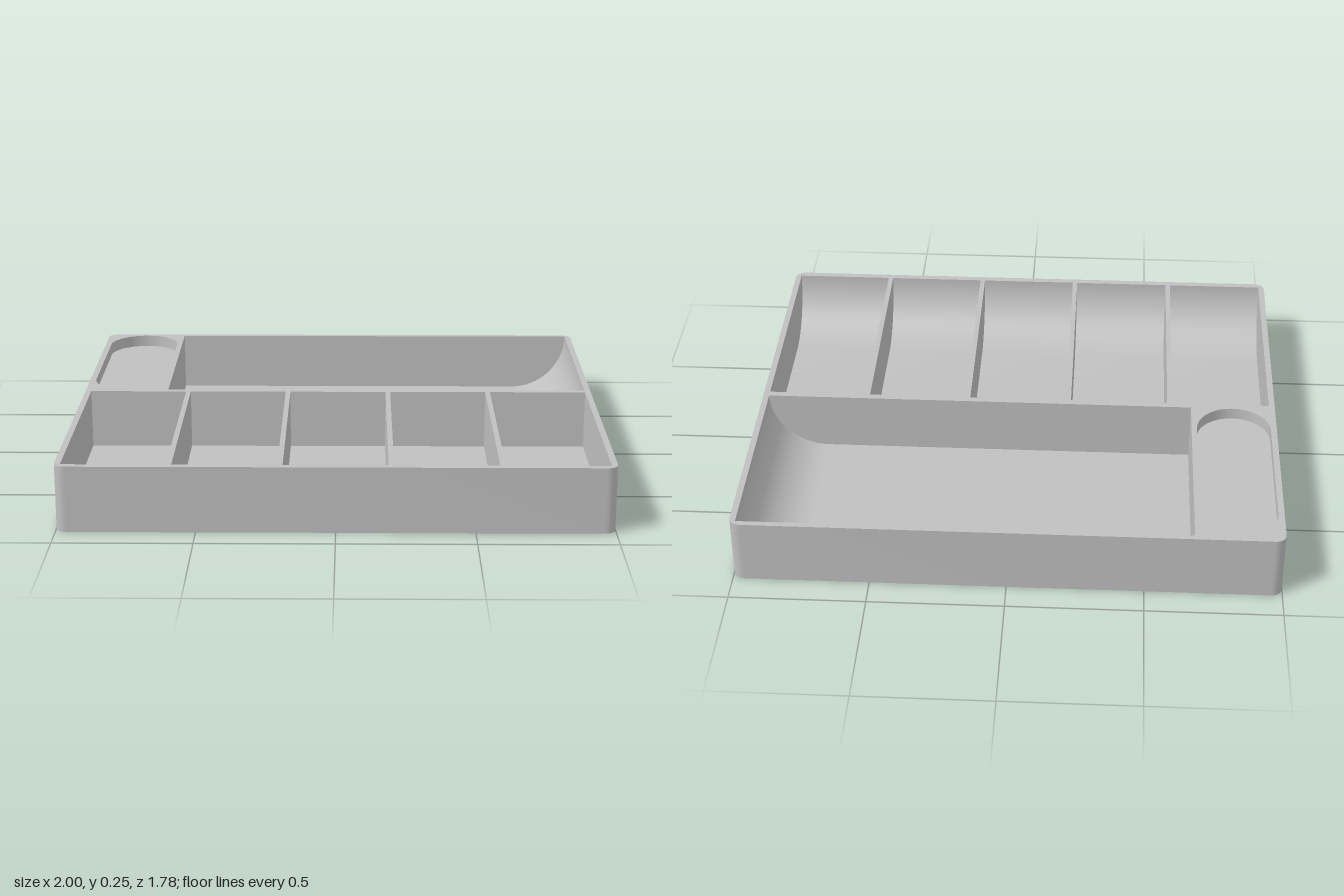
import * as THREE from 'three';
import { toCreasedNormals } from 'three/addons/utils/BufferGeometryUtils.js';

const HEIGHT = 0.246, FLOOR = 0.02, OVAL_FLOOR = 0.2;
const HALF_X = 1, HALF_Z = 0.89;
const INNER_X = 0.977;                    // inner face of the outer side walls
const BACK = [-0.868, -0.059];            // z range of the back row
const FRONT = [-0.032, 0.863];            // z range of the front row
const CELLS = 5, GAP = 0.019;

const plastic = new THREE.MeshStandardMaterial({ color: 0xc0c0c0 });
plastic.name = 'grey plastic';

// Rounded rectangle in plan, drawn with y = -z
function roundedRect(path, x0, x1, z0, z1, r) {
  const b = -z1, t = -z0;
  path.moveTo(x0 + r, b);
  path.lineTo(x1 - r, b);
  if (r) path.absarc(x1 - r, b + r, r, -Math.PI / 2, 0);
  path.lineTo(x1, t - r);
  if (r) path.absarc(x1 - r, t - r, r, 0, Math.PI / 2);
  path.lineTo(x0 + r, t);
  if (r) path.absarc(x0 + r, t - r, r, Math.PI / 2, Math.PI);
  path.lineTo(x0, b + r);
  if (r) path.absarc(x0 + r, b + r, r, Math.PI, Math.PI * 1.5);
  path.closePath();
  return path;
}

function extrude(shape, depth) {
  return new THREE.ExtrudeGeometry(shape, { depth, bevelEnabled: false, curveSegments: 16 });
}

// Floor slab whose far end sweeps up to the rim in a quarter circle
function scoop(length, width) {
  const r = HEIGHT - FLOOR;
  const s = new THREE.Shape();
  s.moveTo(0, 0);
  s.lineTo(length, 0);
  s.lineTo(length, HEIGHT);
  s.absarc(length - r, HEIGHT, r, 0, -Math.PI / 2, true);
  s.lineTo(0, FLOOR);
  s.closePath();
  return extrude(s, width);
}

export function createModel() {
  const tray = new THREE.Group();
  tray.name = 'drawerTray';
  const add = (name, geometry) => {
    const mesh = new THREE.Mesh(toCreasedNormals(geometry, 0.5), plastic);
    mesh.name = name;
    tray.add(mesh);
  };

  const oval = [-INNER_X, -0.695, ...BACK, 0.141];
  const large = [-0.674, INNER_X, ...BACK, 0];
  const cellWidth = (2 * INNER_X - (CELLS - 1) * GAP) / CELLS;
  const cells = [];
  for (let i = 0; i < CELLS; i++) {
    const x0 = -INNER_X + i * (cellWidth + GAP);
    cells.push([x0, x0 + cellWidth, ...FRONT, 0]);
  }

  // Outer walls and dividers in one piece, with an opening per compartment
  const plan = roundedRect(new THREE.Shape(), -HALF_X, HALF_X, -HALF_Z, HALF_Z, 0.04);
  for (const hole of [oval, large, ...cells]) plan.holes.push(roundedRect(new THREE.Path(), ...hole));
  add('wallsAndDividers', extrude(plan, HEIGHT).rotateX(-Math.PI / 2));

  // Shallow oval recess
  const ovalPlan = roundedRect(new THREE.Shape(), ...oval);
  add('ovalRecessFloor', extrude(ovalPlan, OVAL_FLOOR).rotateX(-Math.PI / 2));

  // Large compartment, curving up towards +x
  add('largeCompartmentFloor',
    scoop(large[1] - large[0], BACK[1] - BACK[0]).translate(large[0], 0, BACK[0]));

  // Front compartments, curving up towards the front
  cells.forEach((c, i) => add('frontCompartmentFloor' + (i + 1),
    scoop(FRONT[1] - FRONT[0], cellWidth).rotateY(-Math.PI / 2).translate(c[1], 0, FRONT[0])));

  return tray;
}
